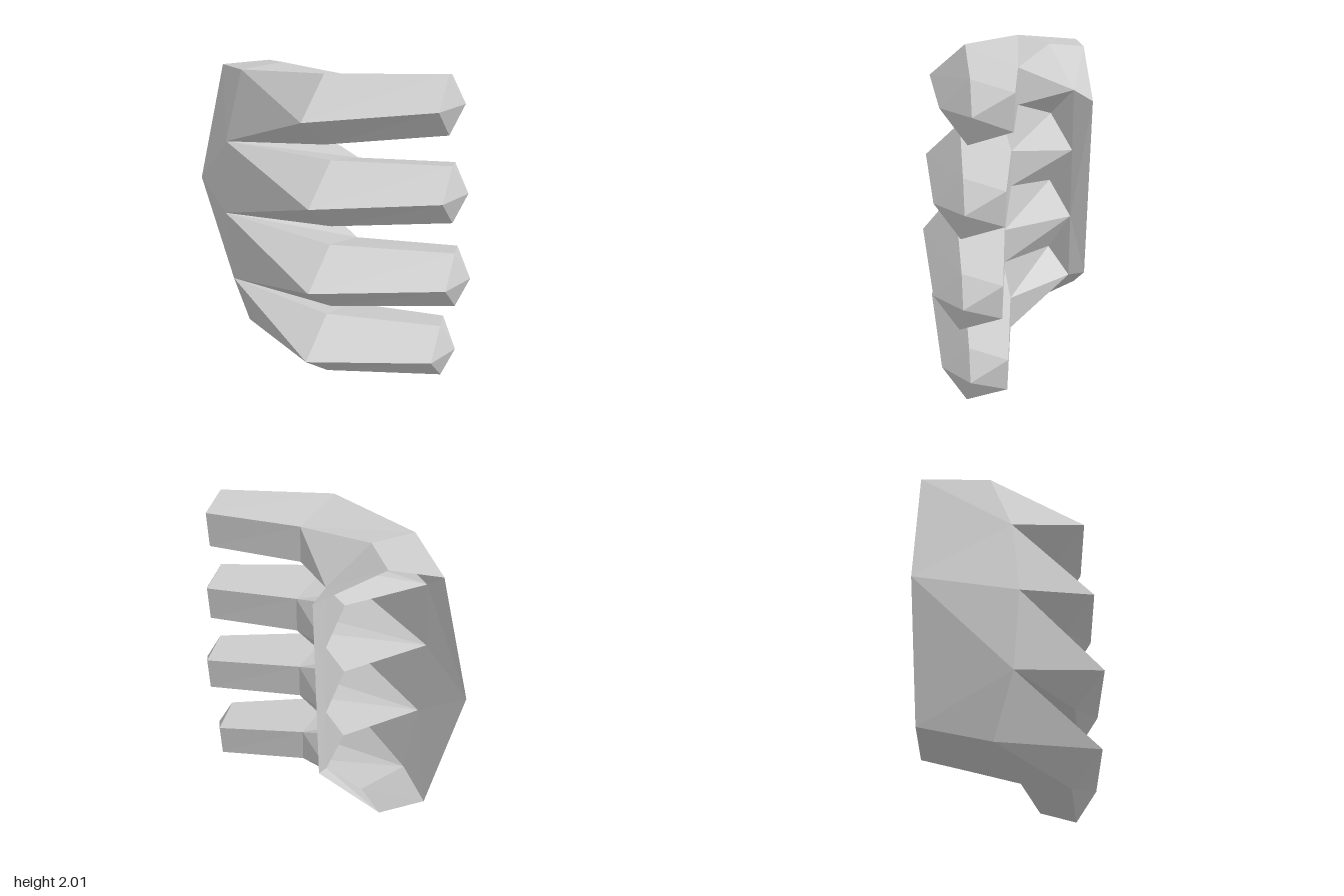
import * as THREE from 'three';

const material = new THREE.MeshStandardMaterial({
  color: 0xcccccc, flatShading: true, side: THREE.DoubleSide,
});

// Five-sided finger rings, relative to the ridge corner:
// ridge, top, inner top, inner bottom, bottom
const BEND = [[0, 0, 0], [-0.08, 0.22, -0.24], [-0.19, 0.12, -0.57], [-0.19, -0.11, -0.57], [-0.06, -0.2, -0.23]];
const TIP = [[0, 0, 0], [-0.08, 0.175, -0.16], [-0.22, 0.11, -0.35], [-0.22, -0.11, -0.34], [-0.05, -0.185, -0.16]];
const APEX = [-0.01, 0, -0.24];

// Ridge corner of each finger at its bend and its tip, top finger first
const FINGERS = [
  { bend: [0.31, 1.79, 0.43], tip: [0.78, 1.835, -0.18] },
  { bend: [0.37, 1.28, 0.43], tip: [0.85, 1.295, -0.18] },
  { bend: [0.40, 0.745, 0.46], tip: [0.90, 0.73, -0.2] },
  { bend: [0.36, 0.23, 0.45], tip: [0.84, 0.185, -0.18] },
];

const add = (a, b) => a.map((v, i) => v + b[i]);
const ringAt = (ring, origin) => ring.map((p) => add(p, origin));

// Makes a flat-shaded mesh from convex polygons wound counter-clockwise
function polyMesh(name, polygons) {
  const pos = [];
  for (const p of polygons) {
    for (let i = 1; i < p.length - 1; i++) pos.push(...p[0], ...p[i], ...p[i + 1]);
  }
  const geometry = new THREE.BufferGeometry();
  geometry.setAttribute('position', new THREE.Float32BufferAttribute(pos, 3));
  geometry.computeVertexNormals();
  const mesh = new THREE.Mesh(geometry, material);
  mesh.name = name;
  return mesh;
}

// Finger from the bend to its pointed end
function finger({ bend, tip }, name) {
  const a = ringAt(BEND, bend);
  const b = ringAt(TIP, tip);
  const apex = add(APEX, tip);
  const faces = [];
  for (let j = 0; j < 5; j++) {
    const k = (j + 1) % 5;
    faces.push([a[j], b[j], b[k], a[k]], [b[j], apex, b[k]]);
  }
  return polyMesh(name, faces);
}

// Palm shell, open at the wrist
function palm() {
  // wrist opening
  const wTop = [-0.8, 1.85, 0.18], wMid = [-0.91, 1.05, 0.33], wLow = [-0.76, 0.22, 0.19];
  const wTopIn = [-0.6, 1.88, -0.05], wLowIn = [-0.59, 0.12, -0.04];
  const heelTop = [-0.32, 1.645, -0.36], heelLow = [-0.33, 0.42, -0.335];
  // knuckle line on the back of the hand: top edge, three valleys, bottom edge
  const outer = [[-0.38, 1.93, 0.33], [-0.33, 1.52, 0.5], [-0.31, 1.055, 0.545], [-0.32, 0.56, 0.5], [-0.36, 0.165, 0.36]];
  // the same line on the palm side
  const inner = [[-0.35, 1.93, 0.03], [-0.25, 1.52, -0.08], [-0.25, 1.055, -0.08], [-0.25, 0.56, -0.08], [-0.3, 0.08, 0.04]];
  // pad below each finger
  const pads = [1.7, 1.3, 0.83, 0.385].map((y) => [-0.28, y, -0.24]);

  const faces = [
    // back of the hand
    [wTop, outer[1], outer[0]], [wMid, outer[1], wTop], [wMid, outer[2], outer[1]],
    [wMid, outer[3], outer[2]], [wMid, wLow, outer[3]], [wLow, outer[4], outer[3]],
    // top and bottom edges
    [wTop, outer[0], inner[0], wTopIn], [wTopIn, inner[0], pads[0]], [wTopIn, pads[0], heelTop],
    [wLow, wLowIn, inner[4], outer[4]], [wLowIn, pads[3], inner[4]], [wLowIn, heelLow, pads[3]],
    // inside of the palm
    [heelTop, pads[0], pads[1]], [heelTop, pads[1], pads[2]],
    [heelTop, pads[2], heelLow], [heelLow, pads[2], pads[3]],
  ];
  for (let i = 0; i < 3; i++) faces.push([pads[i], inner[i + 1], pads[i + 1]]);

  // finger roots, from the knuckle line to the bend
  FINGERS.forEach(({ bend }, i) => {
    const [a, b, c, d, e] = ringAt(BEND, bend);
    const [up, down, upIn, downIn, pad] = [outer[i], outer[i + 1], inner[i], inner[i + 1], pads[i]];
    faces.push(
      [up, down, a], [up, a, b], [down, e, a],
      [up, b, c, upIn], [down, downIn, d, e],
      [c, d, pad], [c, pad, upIn], [d, downIn, pad],
    );
  });
  return polyMesh('palm', faces);
}

export function createModel() {
  const hand = new THREE.Group();
  hand.name = 'hand';
  hand.add(palm());
  FINGERS.forEach((f, i) => hand.add(finger(f, `finger${i + 1}`)));
  return hand;
}
